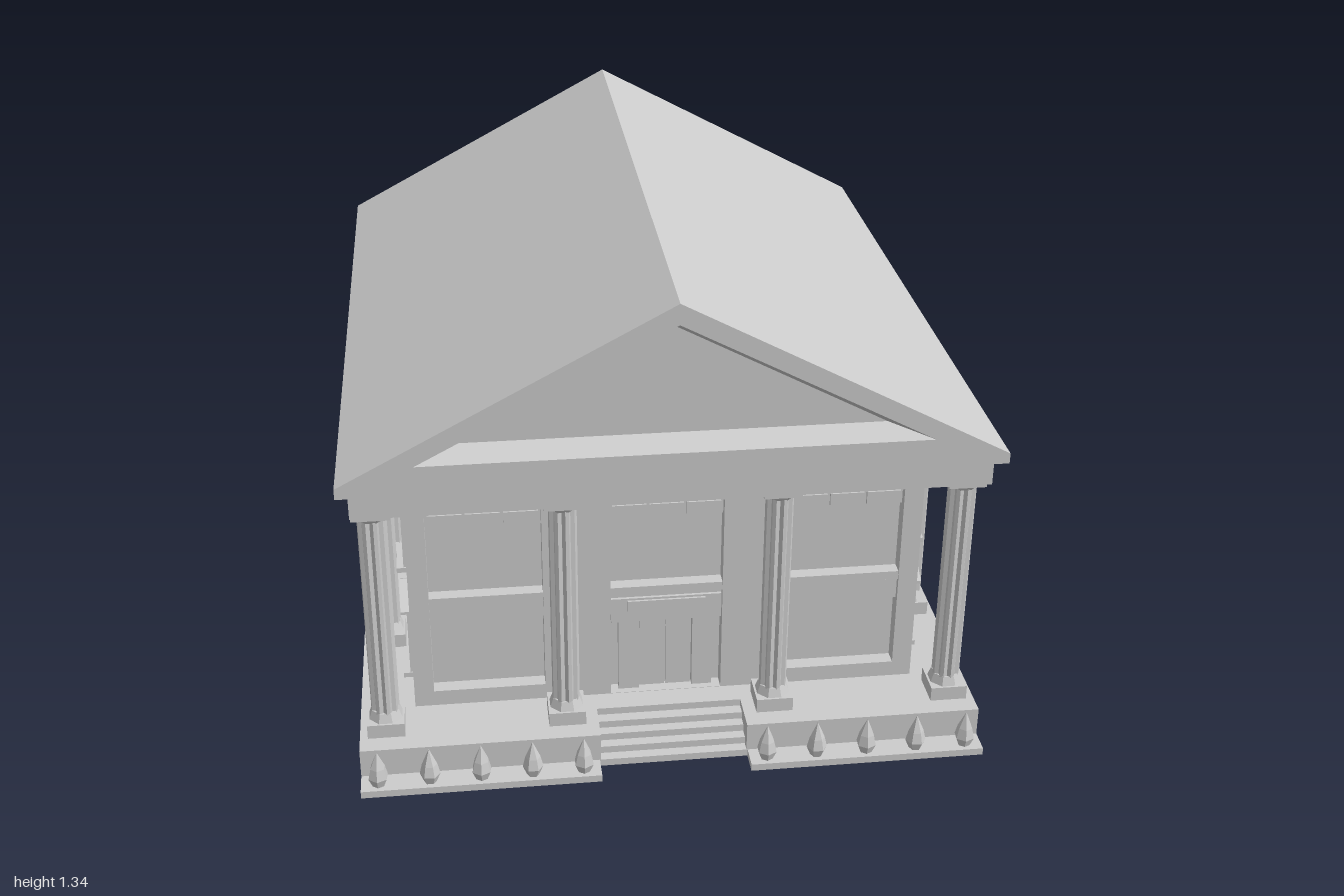
import * as THREE from 'three';

const stone = new THREE.MeshStandardMaterial({ color: 0xcccccc, flatShading: true, side: THREE.DoubleSide });

function add(parent, name, geo, x = 0, y = 0, z = 0) {
  const m = new THREE.Mesh(geo, stone);
  m.name = name;
  m.position.set(x, y, z);
  parent.add(m);
  return m;
}

// Box given by its limits on each axis
function block(parent, name, x0, x1, y0, y1, z0, z1) {
  return add(parent, name, new THREE.BoxGeometry(x1 - x0, y1 - y0, z1 - z0), (x0 + x1) / 2, (y0 + y1) / 2, (z0 + z1) / 2);
}

const poly = (pts, Type = THREE.Shape) => new Type(pts.map(p => new THREE.Vector2(...p)));
const rect = (x0, x1, y0, y1, Type) => poly([[x0, y0], [x1, y0], [x1, y1], [x0, y1]], Type);
const extrude = (shape, depth) => new THREE.ExtrudeGeometry(shape, { depth, bevelEnabled: false });

function group(parent, name) {
  const g = new THREE.Group();
  g.name = name;
  parent.add(g);
  return g;
}

// Plinth, fluted shaft and flared capital
function column(parent, x, z) {
  const g = group(parent, 'column');
  g.position.set(x, 0, z);
  block(g, 'columnPlinth', -0.049, 0.049, 0.1, 0.14, -0.049, 0.049);
  const ring = (name, rt, rb, y0, y1) =>
    add(g, name, new THREE.CylinderGeometry(rt, rb, y1 - y0, 8).rotateY(Math.PI / 8), 0, (y0 + y1) / 2, 0);
  ring('columnFoot', 0.038, 0.047, 0.14, 0.165);
  const pts = [];
  for (let i = 0; i < 24; i++) {
    const a = (i + 0.5) / 24 * Math.PI * 2, r = i % 3 === 2 ? 0.03 : 0.037;
    pts.push([Math.cos(a) * r, Math.sin(a) * r]);
  }
  add(g, 'columnShaft', extrude(poly(pts), 0.59).rotateX(-Math.PI / 2), 0, 0.16, 0);
  ring('columnCapital', 0.05, 0.037, 0.742, 0.76);
  block(g, 'columnAbacus', -0.049, 0.049, 0.757, 0.772, -0.049, 0.049);
  block(g, 'columnNeck', -0.04, 0.04, 0.77, 0.79, -0.04, 0.04);
}

// End wall with three recessed bays; local z = 0 is the back of the recess
function facade(parent, hasDoor) {
  const g = group(parent, hasDoor ? 'frontWall' : 'backWall');
  const wall = rect(-0.68, 0.68, 0.1, 0.787);
  const bays = [-0.478, 0, 0.478];
  for (const x of bays) {
    const bottom = hasDoor && x === 0 ? 0.101 : 0.145;
    wall.holes.push(rect(x - 0.15, x + 0.15, bottom, 0.75, THREE.Path));
  }
  add(g, 'wallFace', extrude(wall, 0.04));
  const band = poly([[0, 0.33], [0.026, 0.347], [0.026, 0.41], [0.036, 0.41], [0.036, 0.435], [0, 0.435]]);
  for (const x of bays) {
    add(g, 'bayBand', extrude(band, 0.3).rotateY(-Math.PI / 2), x + 0.15, 0, 0);
    block(g, 'bayTransom', x - 0.15, x + 0.15, 0.637, 0.685, 0, 0.018);
    for (const i of [-1, 0, 1])
      block(g, 'transomPanel', x + i * 0.098 - 0.045, x + i * 0.098 + 0.045, 0.643, 0.679, 0, 0.026);
  }
  if (hasDoor) {
    block(g, 'doorHead', -0.148, 0.148, 0.325, 0.398, 0, 0.034);
    block(g, 'doorPlaque', -0.105, 0.105, 0.358, 0.392, 0.03, 0.04);
    for (const s of [-1, 1]) {
      add(g, 'doorPost', new THREE.BoxGeometry(0.055, 0.225, 0.022), s * 0.1, 0.2125, 0.011);
      add(g, 'doorLeaf', new THREE.BoxGeometry(0.068, 0.22, 0.01), s * 0.036, 0.21, 0.005);
    }
  }
  return g;
}

// Framed window with a small pediment; local z = 0 is the wall face
function sideWindow(parent, x, y) {
  const g = group(parent, 'window');
  g.position.set(x, y, 0);
  for (const s of [-1, 1])
    add(g, 'windowJamb', new THREE.BoxGeometry(0.012, 0.22, 0.026), s * 0.054, 0.11, -0.003);
  block(g, 'windowSill', -0.064, 0.064, 0, 0.014, -0.015, 0.028);
  block(g, 'windowHead', -0.06, 0.06, 0.205, 0.22, -0.015, 0.012);
  const gable = poly([[-0.085, 0.215], [0.085, 0.215], [0.085, 0.223], [0, 0.274], [-0.085, 0.223]]);
  gable.holes.push(poly([[-0.052, 0.226], [0.052, 0.226], [0, 0.258]], THREE.Path));
  add(g, 'windowPediment', extrude(gable, 0.025));
  add(g, 'pedimentPanel', extrude(poly([[-0.06, 0.222], [0.06, 0.222], [0, 0.262]]), 0.012));
}

// Long wall with two rows of four windows
function sideWall(parent, s) {
  const g = group(parent, s > 0 ? 'leftWall' : 'rightWall');
  g.rotation.y = s * Math.PI / 2;
  g.position.x = s * 0.68;
  const ends = [-s * 0.715, s * 0.76];
  const wall = rect(Math.min(...ends), Math.max(...ends), 0.1, 0.787);
  for (const z of [0.625, 0.198, -0.244, -0.67])
    for (const y of [0.15, 0.483]) {
      const x = -s * z;
      wall.holes.push(rect(x - 0.055, x + 0.055, y + 0.005, y + 0.215, THREE.Path));
      sideWindow(g, x, y);
    }
  add(g, 'wallFace', extrude(wall, 0.02), 0, 0, -0.02);
}

// Tapered triangular recess closing one gable end
function tympanum(parent, zOuter, zInner) {
  const outer = [[-0.64, 0.94, zOuter], [0.64, 0.94, zOuter], [0, 1.28, zOuter]];
  const inner = [[-0.53, 0.967, zInner], [0.53, 0.967, zInner], [0, 1.25, zInner]];
  const tris = [...inner];
  for (let i = 0; i < 3; i++) {
    const j = (i + 1) % 3;
    tris.push(outer[i], outer[j], inner[j], outer[i], inner[j], inner[i]);
  }
  // Reverse the winding for the back end
  if (zOuter < zInner)
    for (let i = 0; i < tris.length; i += 3) [tris[i + 1], tris[i + 2]] = [tris[i + 2], tris[i + 1]];
  const geo = new THREE.BufferGeometry();
  geo.setAttribute('position', new THREE.Float32BufferAttribute(tris.flat(), 3));
  geo.computeVertexNormals();
  add(parent, 'tympanum', geo);
}

export function createModel() {
  const model = new THREE.Group();
  model.name = 'classicalBuilding';

  // Base platform with an inset flight of steps
  const base = group(model, 'base');
  const stairBack = 0.82;
  block(base, 'platform', -0.825, 0.825, 0, 0.1, -0.948, stairBack);
  for (const s of [-1, 1]) {
    add(base, 'platformFront', new THREE.BoxGeometry(0.63, 0.1, 0.935 - stairBack), s * 0.51, 0.05, (0.935 + stairBack) / 2);
    add(base, 'planterLedge', new THREE.BoxGeometry(0.627, 0.02, 0.065), s * 0.5115, 0.01, 0.9675);
  }
  for (let i = 0; i < 4; i++)
    block(base, 'step', -0.195, 0.195, i * 0.02, (i + 1) * 0.02, stairBack, 0.935 - i * 0.028);

  // Pointed shrubs along the ledges
  const shrub = new THREE.LatheGeometry(
    [[0, 0], [0.017, 0], [0.027, 0.025], [0.02, 0.055], [0, 0.102]].map(p => new THREE.Vector2(...p)), 6);
  for (const s of [-1, 1])
    for (let i = 0; i < 5; i++)
      add(model, 'shrub', shrub, s * (0.243 + i * 0.134), 0.02, 0.972).rotation.y = i * 0.5;

  // Hall
  block(model, 'hallCore', -0.66, 0.66, 0.1, 0.787, -0.76, 0.715);
  facade(model, true).position.z = 0.715;
  const back = facade(model, false);
  back.rotation.y = Math.PI;
  back.position.z = -0.76;
  sideWall(model, 1);
  sideWall(model, -1);

  // Colonnade around all four sides
  for (const x of [-0.755, 0.755])
    for (const z of [0.834, 0.42, -0.021, -0.458, -0.874]) column(model, x, z);
  for (const x of [-0.278, 0.278])
    for (const z of [0.834, -0.874]) column(model, x, z);

  // Entablature and gabled roof
  block(model, 'entablature', -0.803, 0.803, 0.787, 0.862, -0.968, 0.922);
  const roof = group(model, 'roof');
  const gable = poly([[-0.832, 0.862], [0.832, 0.862], [0.832, 0.89], [0, 1.335], [-0.832, 0.89]]);
  gable.holes.push(poly([[-0.64, 0.94], [0.64, 0.94], [0, 1.28]], THREE.Path));
  add(roof, 'roofBody', extrude(gable, 1.952), 0, 0, -1);
  tympanum(roof, 0.952, 0.892);
  tympanum(roof, -1, -0.94);
  return model;
}
